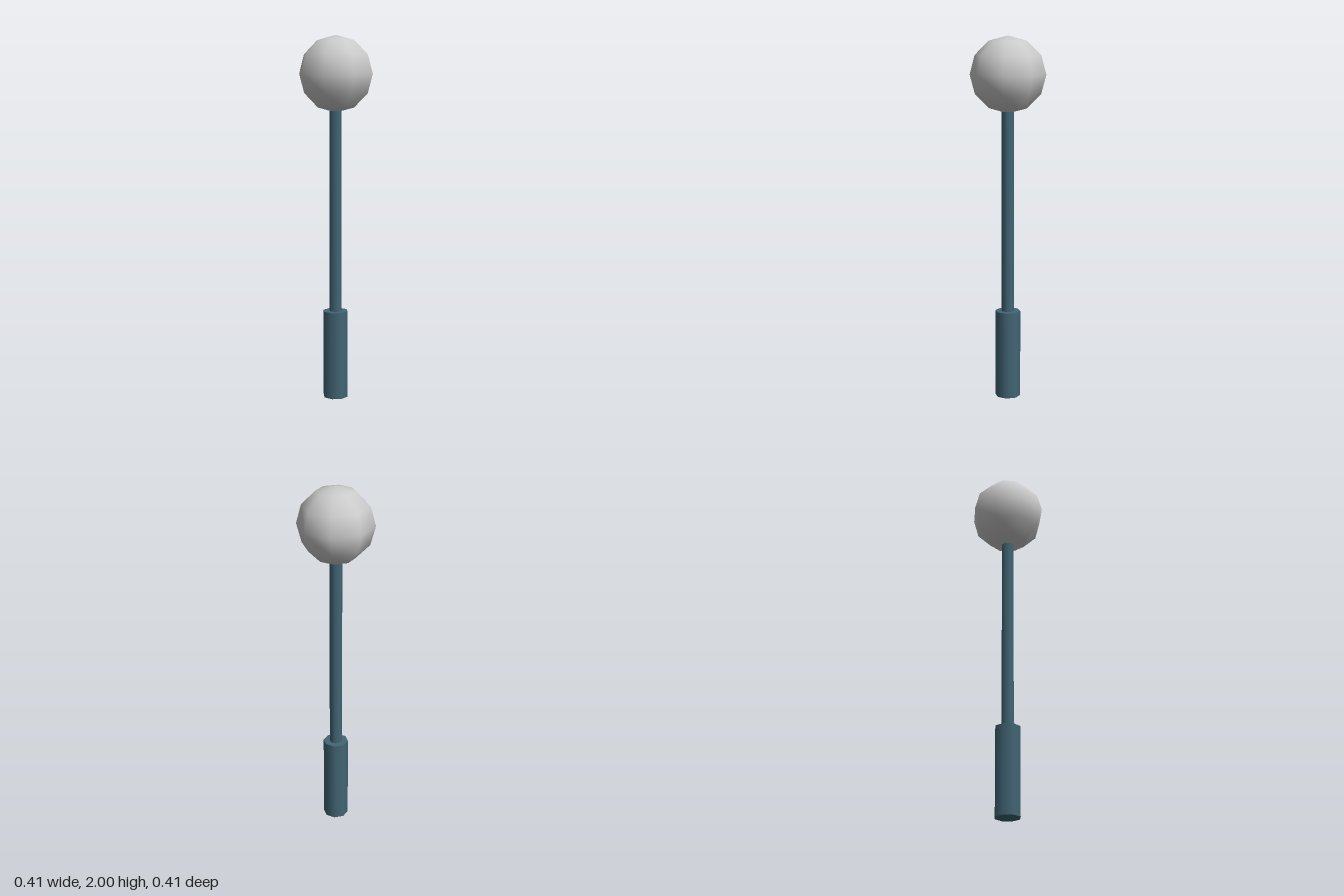
import * as THREE from 'three';

export function createModel() {
  const group = new THREE.Group();
  const grey = new THREE.MeshStandardMaterial({ color: 0xcccccc });
  const slate = new THREE.MeshStandardMaterial({ color: 0x426675 });

  // Adds one named part centred on the y axis
  const add = (name, geometry, material, y) => {
    const mesh = new THREE.Mesh(geometry, material);
    mesh.name = name;
    mesh.position.y = y;
    group.add(mesh);
  };

  // Upright eight-sided rod between two heights
  const rod = (name, radius, bottom, top) =>
    add(name, new THREE.CylinderGeometry(radius, radius, top - bottom, 8), slate, (bottom + top) / 2);

  rod('handle', 0.07, 0, 0.49);
  rod('shaft', 0.0345, 0.48, 1.6);

  // Low-poly ball with smooth shading
  const radius = 0.207;
  add('ballHead', new THREE.SphereGeometry(radius, 8, 6), grey, 2 - radius);

  return group;
}
